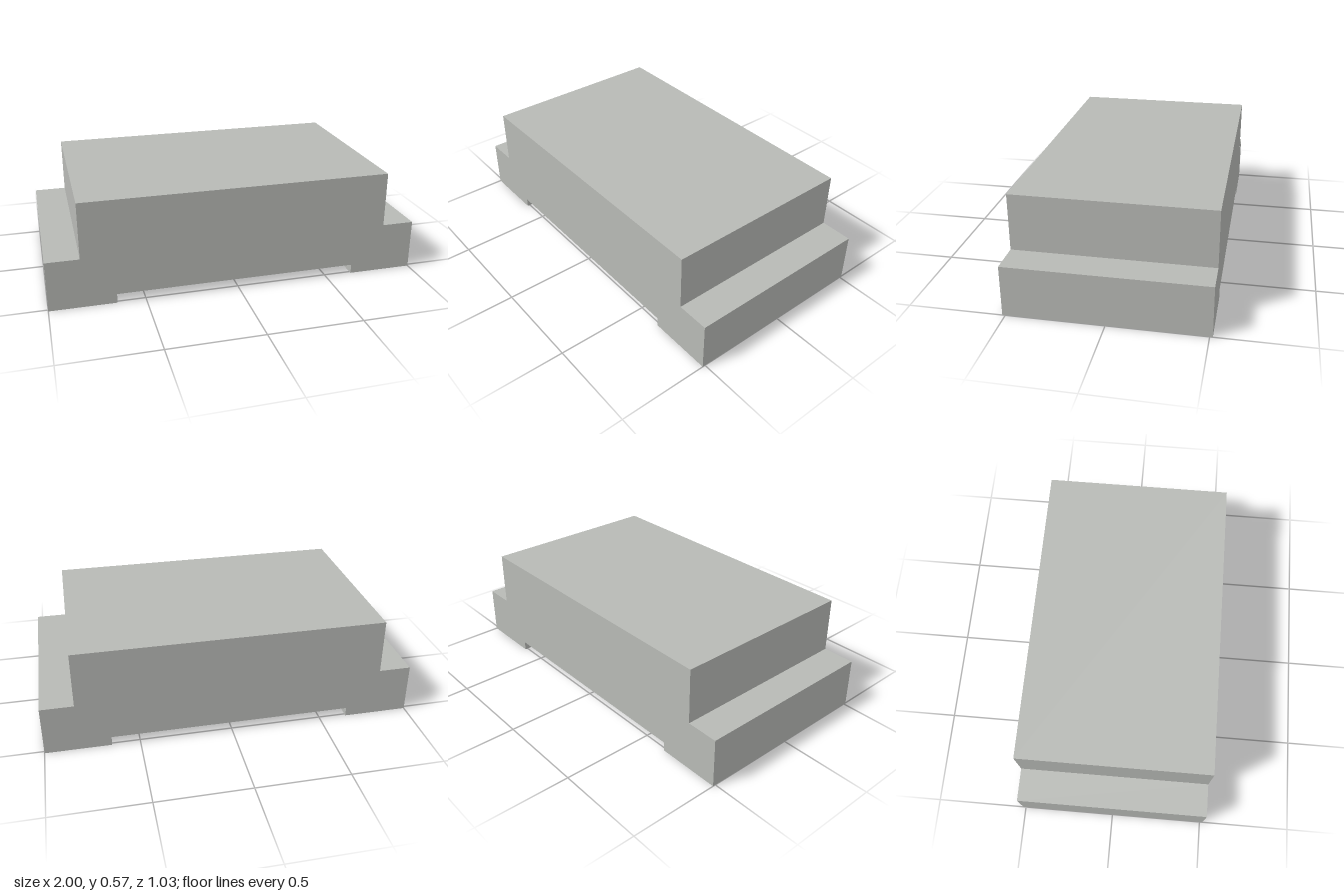
import * as THREE from 'three';

const DEPTH = 1.03;

export function createModel() {
  const group = new THREE.Group();
  group.name = 'steppedBlock';

  const gray = new THREE.MeshStandardMaterial({ color: 0xb8bab6 });
  gray.name = 'light gray';

  // Right half of the stepped profile, from the underside recess up to the top
  const half = [
    [0.65, 0.05], [0.65, 0], [1, 0], [1, 0.27], [0.825, 0.27], [0.825, 0.57],
  ];
  const mirrored = half.map(([x, y]) => [-x, y]).reverse();
  const profile = new THREE.Shape(
    [...half, ...mirrored].map(([x, y]) => new THREE.Vector2(x, y))
  );

  // Solid body with side ledges and two feet
  const geometry = new THREE.ExtrudeGeometry(profile, { depth: DEPTH, bevelEnabled: false });
  geometry.translate(0, 0, -DEPTH / 2);
  const body = new THREE.Mesh(geometry, gray);
  body.name = 'body';
  group.add(body);

  return group;
}
